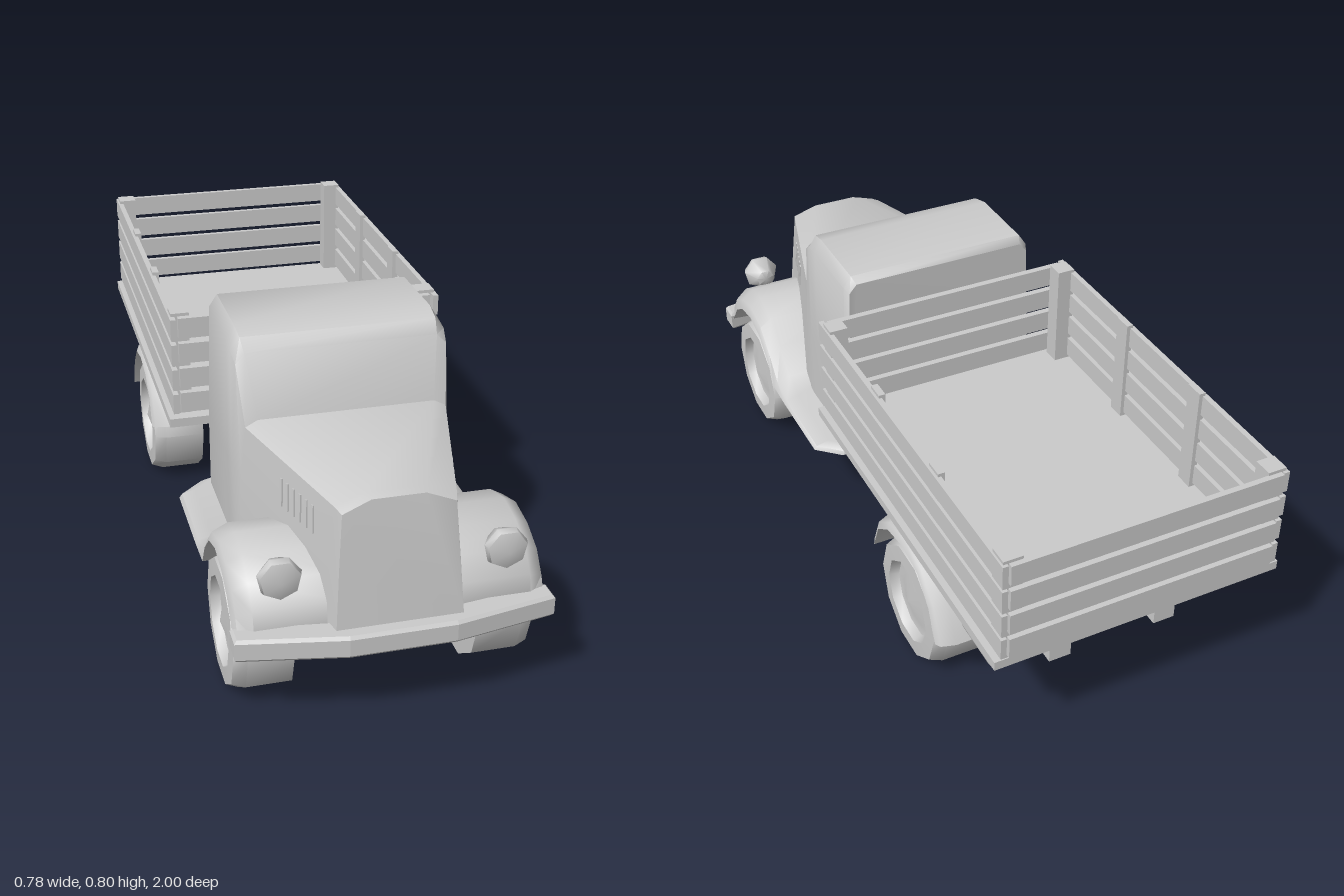
import * as THREE from 'three';
import { toCreasedNormals } from 'three/addons/utils/BufferGeometryUtils.js';
import { RoundedBoxGeometry } from 'three/addons/geometries/RoundedBoxGeometry.js';

const grey = new THREE.MeshStandardMaterial({ color: 0xcccccc, side: THREE.DoubleSide });

// Skin a list of closed rings, each counter-clockwise seen from +z, running towards -z
function loft(rings, crease) {
  const n = rings[0].length, pos = rings.flat(2), index = [];
  for (let i = 0; i < rings.length - 1; i++) {
    for (let j = 0; j < n; j++) {
      const a = i * n + j, b = i * n + (j + 1) % n;
      index.push(a, a + n, b, b, a + n, b + n);
    }
  }
  const last = (rings.length - 1) * n;
  for (let j = 1; j < n - 1; j++) {
    index.push(0, j, j + 1, last, last + j + 1, last + j);
  }
  const g = new THREE.BufferGeometry();
  g.setAttribute('position', new THREE.Float32BufferAttribute(pos, 3));
  g.setIndex(index);
  return toCreasedNormals(g, crease);
}

function lathe(profile, sides, crease) {
  const points = profile.map(([r, h]) => new THREE.Vector2(r, h));
  return toCreasedNormals(new THREE.LatheGeometry(points, sides), crease);
}

export function createModel() {
  const group = new THREE.Group();

  function add(name, geometry, x = 0, y = 0, z = 0) {
    const mesh = new THREE.Mesh(geometry, grey);
    mesh.name = name;
    mesh.position.set(x, y, z);
    group.add(mesh);
    return mesh;
  }
  // Box given by its limits on each axis
  function box(name, [x0, x1], [y0, y1], [z0, z1]) {
    return add(name, new THREE.BoxGeometry(x1 - x0, y1 - y0, z1 - z0),
      (x0 + x1) / 2, (y0 + y1) / 2, (z0 + z1) / 2);
  }

  // Hood and cab: half sections of [x, y, z] from the sill up to the roof
  const sections = [
    [[0.155, 0.285, 0.965], [0.146, 0.43, 0.947], [0.136, 0.572, 0.93], [0.065, 0.598, 0.922]],
    [[0.17, 0.27, 0.90], [0.158, 0.43, 0.90], [0.146, 0.578, 0.90], [0.075, 0.605, 0.90]],
    [[0.285, 0.23, 0.49], [0.275, 0.45, 0.49], [0.262, 0.59, 0.49], [0.23, 0.607, 0.49]],
    [[0.29, 0.23, 0.44], [0.288, 0.47, 0.44], [0.274, 0.74, 0.44], [0.25, 0.765, 0.435]],
    [[0.29, 0.23, 0.40], [0.29, 0.47, 0.40], [0.28, 0.765, 0.40], [0.255, 0.797, 0.405]],
    [[0.29, 0.23, 0.35], [0.29, 0.47, 0.35], [0.28, 0.775, 0.35], [0.258, 0.81, 0.35]],
    [[0.29, 0.23, 0.14], [0.29, 0.47, 0.14], [0.28, 0.775, 0.135], [0.258, 0.808, 0.135]],
    [[0.285, 0.23, 0.12], [0.282, 0.47, 0.117], [0.272, 0.765, 0.115], [0.25, 0.79, 0.115]],
  ];
  add('cabAndHood', loft(sections.map(half =>
    [...half, ...half.map(([x, y, z]) => [-x, y, z]).reverse()]), 0.75));

  // Fenders: outer arch points [z, y], opening points [z, y] and the outer half width
  const frontOuter = [[0.925, 0.27], [0.91, 0.33], [0.87, 0.385], [0.8, 0.42], [0.72, 0.435],
    [0.63, 0.41], [0.56, 0.345], [0.49, 0.28], [0.42, 0.25], [0.17, 0.25], [0.11, 0.25]];
  const frontInner = [[0.91, 0.25], [0.875, 0.29], [0.84, 0.335], [0.78, 0.37], [0.7, 0.385],
    [0.62, 0.36], [0.555, 0.30], [0.515, 0.235], [0.42, 0.23], [0.17, 0.23], [0.11, 0.23]];
  const rearOuter = [[-0.255, 0.235], [-0.295, 0.33], [-0.37, 0.385], [-0.475, 0.405],
    [-0.58, 0.385], [-0.655, 0.31], [-0.70, 0.205]];
  const rearInner = rearOuter.map(([z, y]) => [z + (-0.475 - z) * 0.13, y + (0.17 - y) * 0.13]);

  function fender(outer, inner, xIn, widthAt) {
    return loft(outer.map(([zo, yo], i) => {
      const [zi, yi] = inner[i], w = widthAt(i);
      const mix = t => [zo + (zi - zo) * t, yo + (yi - yo) * t];
      return [[xIn, 1], [w, 1], [w - 0.008, 0.45], [w - 0.045, 0], [xIn, 0]].map(([x, t]) => {
        const [z, y] = mix(t);
        return [x, y, z];
      });
    }), 0.9);
  }
  const frontFender = fender(frontOuter, frontInner, 0.12, i => (i === 10 ? 0.32 : 0.385));
  const rearFender = fender(rearOuter, rearInner, 0.2, () => 0.39);

  // Wheel: tyre, recessed rim and pointed hub
  const wheel = lathe([[0, 0], [0.175, 0], [0.175, 0.115], [0.162, 0.148], [0.117, 0.15],
    [0.108, 0.125], [0.08, 0.122], [0, 0.148]], 10, 0.65);
  const headlight = lathe([[0, -0.045], [0.028, -0.04], [0.055, 0.005], [0.05, 0.022], [0, 0.038]], 7, 0.95);
  const lens = new THREE.CylinderGeometry(0.025, 0.025, 0.012, 10);

  for (const s of [1, -1]) {
    const side = s > 0 ? 'left' : 'right';
    const span = (a, b) => (s > 0 ? [a, b] : [-b, -a]);

    add(side + 'FrontFender', frontFender).scale.x = s;
    add(side + 'RearFender', rearFender).scale.x = s;
    add(side + 'FrontWheel', wheel, s * 0.23, 0.175, 0.70).rotation.z = -s * Math.PI / 2;
    add(side + 'RearWheel', wheel, s * 0.23, 0.175, -0.475).rotation.z = -s * Math.PI / 2;

    add(side + 'Headlight', headlight, s * 0.275, 0.412, 0.897).rotation.x = Math.PI / 2;
    const stalk = add(side + 'HeadlightStalk', new THREE.CylinderGeometry(0.015, 0.02, 0.08, 6), s * 0.265, 0.37, 0.868);
    stalk.rotation.x = 0.3;

    // Hood louvres following the taper of the hood
    for (let i = 0; i < 6; i++) {
      const z = 0.68 + i * 0.028;
      const louvre = add(side + 'HoodLouvre', new THREE.BoxGeometry(0.012, 0.07, 0.01),
        s * (0.213 - (z - 0.68) * 0.29), 0.505, z);
      louvre.rotation.set(-0.12, -s * 0.28, s * 0.05);
    }

    // Frame rail and tail lamps
    box(side + 'FrameRail', span(0.12, 0.18), [0.24, 0.415], [-0.88, 0.12]);
    add(side + 'TailLampHousing', new RoundedBoxGeometry(0.16, 0.09, 0.18, 2, 0.02), s * 0.28, 0.367, -0.832);
    for (const x of [0.245, 0.315]) {
      add(side + 'TailLamp', lens, s * x, 0.367, -0.924).rotation.x = Math.PI / 2;
    }

    // Bed posts and side slats
    for (const z of [0.035, -0.962]) {
      box(side + 'CornerPost', span(0.322, 0.372), [0.43, 0.732], [z - 0.025, z + 0.025]);
    }
    for (const z of [-0.285, -0.63]) {
      box(side + 'MiddlePost', span(0.352, 0.37), [0.42, 0.732], [z - 0.025, z + 0.025]);
    }
    for (let i = 0; i < 4; i++) {
      const y = 0.445 + i * 0.0735;
      box(side + 'Slat', span(0.362, 0.377), [y, y + 0.058], [-0.995, 0.085]);
    }
  }

  // Front and rear slats
  for (let i = 0; i < 4; i++) {
    const y = 0.445 + i * 0.0735;
    box('frontSlat', [-0.355, 0.355], [y, y + 0.058], [0.06, 0.078]);
    box('tailgateSlat', [-0.358, 0.358], [y, y + 0.058], [-1, -0.985]);
  }
  box('bedFloor', [-0.39, 0.39], [0.41, 0.435], [-0.99, 0.095]);

  // Cross members under the bed
  for (const z of [-0.25, -0.65]) {
    box('crossMember', [-0.13, 0.13], [0.28, 0.36], [z - 0.03, z + 0.03]);
  }
  box('tailLampBar', [-0.22, 0.22], [0.36, 0.41], [-0.905, -0.875]);

  // Axles with tapered ends
  const axle = lathe([[0, -0.235], [0.02, -0.235], [0.02, -0.215], [0.041, -0.165],
    [0.041, 0.165], [0.02, 0.215], [0.02, 0.235], [0, 0.235]], 10, 0.65);
  add('frontAxle', axle, 0, 0.185, 0.70).rotation.z = Math.PI / 2;
  add('rearAxle', axle, 0, 0.185, -0.475).rotation.z = Math.PI / 2;

  // Front bumper, swept back at both ends
  const outline = [[-0.385, 0.9], [-0.385, 0.945], [-0.13, 0.992], [0.13, 0.992], [0.385, 0.945],
    [0.385, 0.9], [0.13, 0.935], [-0.13, 0.935]];
  const bumper = new THREE.ExtrudeGeometry(
    new THREE.Shape(outline.map(([x, z]) => new THREE.Vector2(x, -z))),
    { depth: 0.044, bevelThickness: 0.008, bevelSize: 0.007, bevelSegments: 1 });
  add('frontBumper', bumper, 0, 0.235, 0).rotation.x = -Math.PI / 2;

  return group;
}
